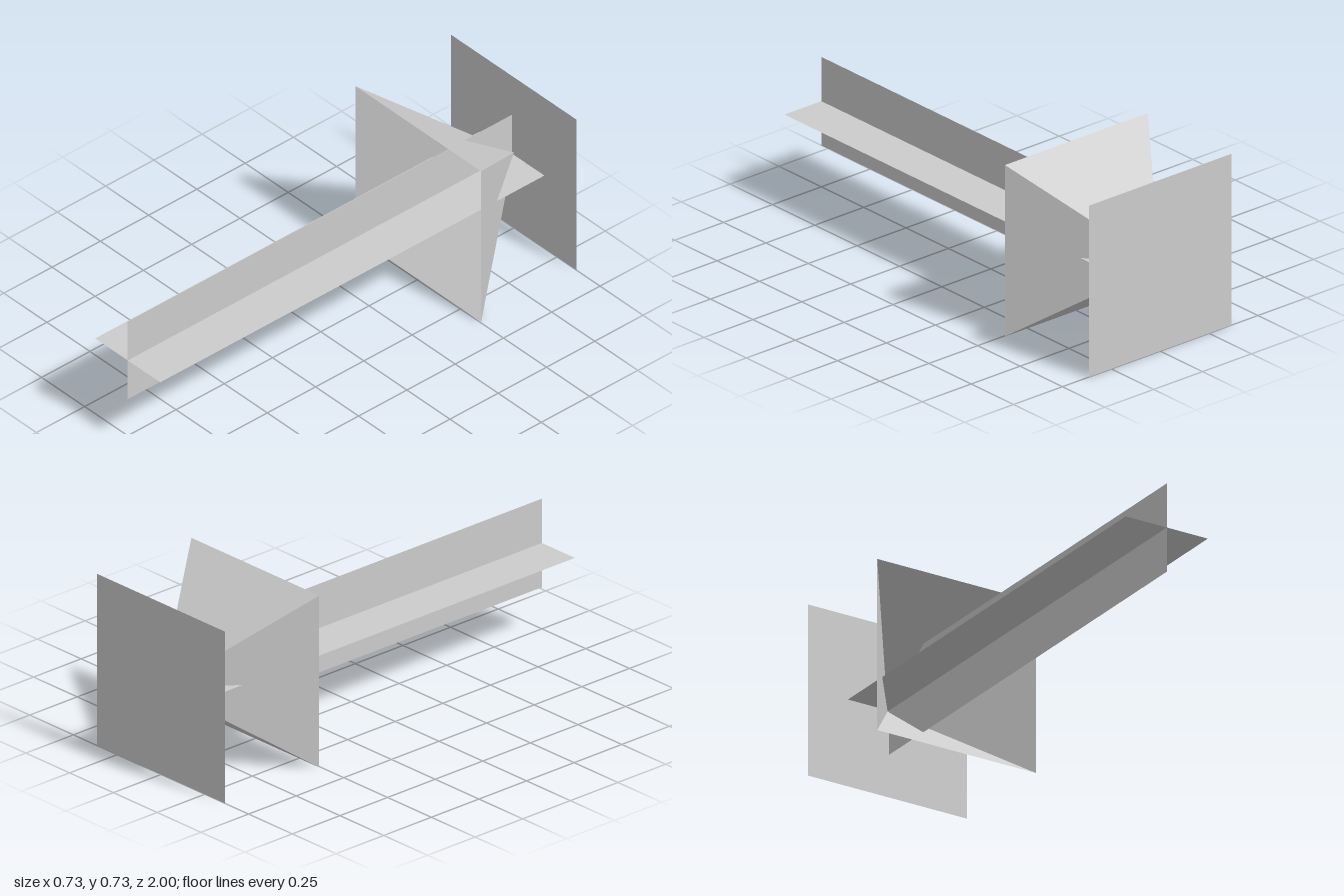
import * as THREE from 'three';

export function createModel() {
  const group = new THREE.Group();
  const material = new THREE.MeshStandardMaterial({
    color: 0xcccccc, flatShading: true, side: THREE.DoubleSide,
  });
  const half = 0.365; // half the width of the head, also the height of the axis

  function add(name, geometry, z) {
    const mesh = new THREE.Mesh(geometry, material);
    mesh.name = name;
    mesh.position.set(0, half, z);
    group.add(mesh);
  }

  // Shaft: two thin blades crossing along the axis
  const width = 0.377, length = 1.99;
  add('horizontalBlade', new THREE.PlaneGeometry(width, length).rotateX(-Math.PI / 2), 0.005);
  add('verticalBlade', new THREE.PlaneGeometry(length, width).rotateY(Math.PI / 2), 0.005);

  // Head: hollow four-sided pyramid, open to the front, its tip at the back
  const depth = 0.495;
  const head = new THREE.ConeGeometry(half * Math.SQRT2, depth, 4, 1, true)
    .rotateY(Math.PI / 4)
    .rotateX(-Math.PI / 2)
    .toNonIndexed();
  head.computeVertexNormals();
  add('pyramidHead', head, -1 + depth / 2);

  // Square panel standing at the tip
  add('backPanel', new THREE.PlaneGeometry(half * 2, half * 2).rotateY(Math.PI), -1);

  return group;
}
